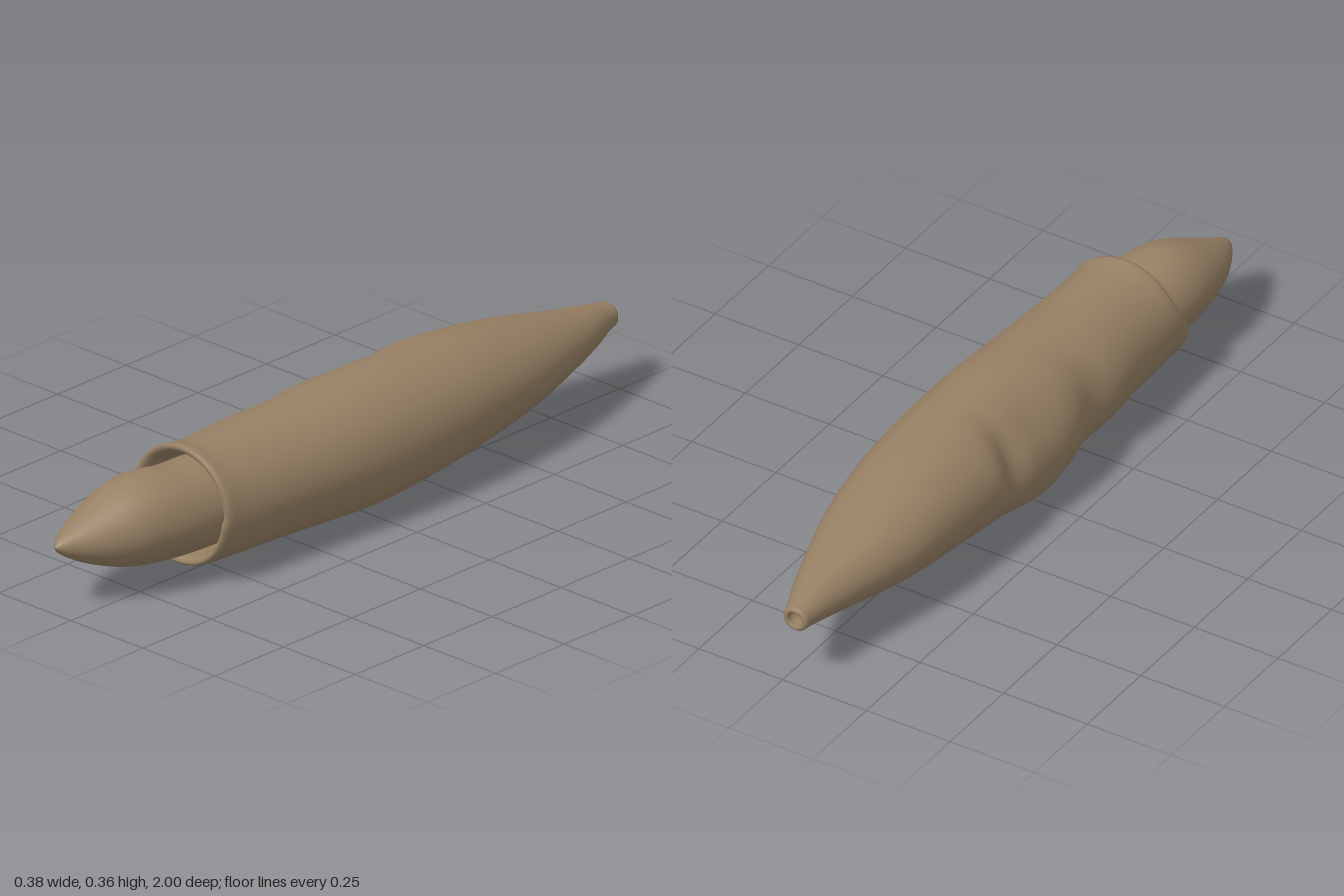
import * as THREE from 'three';

const SEG = 72;

// Sections: [z, top, bottom, xMin, xMax], listed from front to back
const BODY = [
  [0.60, 0.365, 0.038, -0.167, 0.156],
  [0.54, 0.354, 0.036, -0.165, 0.158],
  [0.45, 0.352, 0.033, -0.168, 0.163],
  [0.30, 0.355, 0.028, -0.180, 0.171],
  [0.15, 0.363, 0.021, -0.182, 0.180],
  [0.00, 0.370, 0.016, -0.180, 0.186],
  [-0.20, 0.369, 0.030, -0.179, 0.183],
  [-0.40, 0.358, 0.055, -0.168, 0.167],
  [-0.60, 0.327, 0.088, -0.150, 0.134],
  [-0.80, 0.284, 0.130, -0.106, 0.074],
  [-0.90, 0.264, 0.153, -0.084, 0.038],
  [-0.97, 0.248, 0.172, -0.073, 0.008],
  [-1.00, 0.243, 0.177, -0.070, 0.000],
];
const TIP = [
  [1.00, 0.195, 0.195, -0.055, -0.055],
  [0.985, 0.211, 0.176, -0.074, -0.037],
  [0.95, 0.230, 0.152, -0.097, -0.010],
  [0.90, 0.255, 0.126, -0.120, 0.024],
  [0.85, 0.280, 0.107, -0.134, 0.053],
  [0.80, 0.303, 0.092, -0.142, 0.076],
  [0.74, 0.319, 0.082, -0.146, 0.093],
  [0.68, 0.319, 0.078, -0.143, 0.105],
  [0.62, 0.312, 0.076, -0.136, 0.111],
  [0.50, 0.310, 0.075, -0.130, 0.114],
  [0.34, 0.295, 0.090, -0.115, 0.100],
];

// Smooth interpolation of one section at z
function sectionAt(table, z) {
  const last = table.length - 1;
  if (z >= table[0][0]) return table[0];
  if (z <= table[last][0]) return table[last];
  let i = 0;
  while (table[i + 1][0] > z) i++;
  const p = table[i], q = table[i + 1], dz = q[0] - p[0], t = (z - p[0]) / dz;
  const a = table[Math.max(i - 1, 0)], b = table[Math.min(i + 2, last)];
  return p.map((v, k) => {
    const m0 = (q[k] - a[k]) / (q[0] - a[0]) * dz;
    const m1 = (b[k] - p[k]) / (b[0] - p[0]) * dz;
    const t2 = t * t, t3 = t2 * t;
    return (2 * t3 - 3 * t2 + 1) * v + (t3 - 2 * t2 + t) * m0
      + (3 * t2 - 2 * t3) * q[k] + (t3 - t2) * m1;
  });
}

const bump = (x, centre, width) => Math.exp(-(((x - centre) / width) ** 2));
const rad = THREE.MathUtils.degToRad;

// Hollows and swellings on the -x side: [z, z width, angle, angle width, height]
const DENTS = [
  [-0.17, 0.045, 158, 38, -0.026],
  [0.20, 0.07, 170, 45, -0.020],
  [-0.02, 0.13, 222, 32, 0.022],
  [0.02, 0.09, 185, 25, 0.006],
  [-0.06, 0.10, 140, 25, -0.010],
];

function bodyPoint(z, angle, inset) {
  const [, top, bottom, left, right] = sectionAt(BODY, z);
  let r = -inset;
  for (const [dz, w, a, aw, h] of DENTS) r += h * bump(z, dz, w) * bump(angle, rad(a), rad(aw));
  // The mouth reaches further forward at its lower -x side
  const lip = 0.062 * bump(angle, rad(208), rad(36)) - 0.008 * bump(angle, rad(20), rad(60));
  const reach = THREE.MathUtils.smoothstep(z, 0.42, 0.60);
  return [
    (left + right) / 2 + Math.cos(angle) * Math.max((right - left) / 2 + r, 0),
    Math.max((top + bottom) / 2 + Math.sin(angle) * Math.max((top - bottom) / 2 + r, 0), 0),
    z + lip * reach,
  ];
}

function tipPoint(z, angle) {
  const [, top, bottom, left, right] = sectionAt(TIP, z);
  return [
    (left + right) / 2 + Math.cos(angle) * (right - left) / 2,
    (top + bottom) / 2 + Math.sin(angle) * (top - bottom) / 2,
    z,
  ];
}

// Skin a list of rings into one smooth closed-around surface
function loft(stations, pointAt) {
  const pos = [], index = [];
  stations.forEach((station, i) => {
    for (let j = 0; j < SEG; j++) {
      pos.push(...pointAt(station, (j / SEG) * Math.PI * 2));
      if (i === stations.length - 1) continue;
      const a = i * SEG + j, b = i * SEG + (j + 1) % SEG;
      index.push(a, a + SEG, b, b, a + SEG, b + SEG);
    }
  });
  const geo = new THREE.BufferGeometry();
  geo.setAttribute('position', new THREE.Float32BufferAttribute(pos, 3));
  geo.setIndex(index);
  geo.computeVertexNormals();
  return geo;
}

export function createModel() {
  const model = new THREE.Group();
  model.name = 'pointedTube';
  const clay = new THREE.MeshStandardMaterial({ color: 0x978064 });
  clay.name = 'brown clay';

  const add = (name, geo) => {
    const mesh = new THREE.Mesh(geo, clay);
    mesh.name = name;
    model.add(mesh);
  };

  // Sleeve: cavity floor, inner wall, rounded rim, outer skin
  const sleeve = [[0.34, 0.17], [0.34, 0.06], [0.36, 0.04], [0.45, 0.032], [0.55, 0.028],
    [0.58, 0.025], [0.593, 0.019], [0.60, 0.011], [0.596, 0.004], [0.585, 0]];
  for (let i = 0; i <= 78; i++) sleeve.push([0.57 - i * 0.02, 0]);
  // Small open hole at the tail
  sleeve.push([-0.994, 0], [-1, 0.004], [-1, 0.012], [-0.994, 0.015], [-0.95, 0.024], [-0.94, 0.06]);
  add('sleeve', loft(sleeve, ([z, inset], a) => bodyPoint(z, a, inset)));

  // Pointed tip seated in the mouth of the sleeve
  const tip = [1, 0.993];
  for (let z = 0.985; z > 0.34; z -= 0.015) tip.push(z);
  add('pointedTip', loft(tip, tipPoint));

  return model;
}
